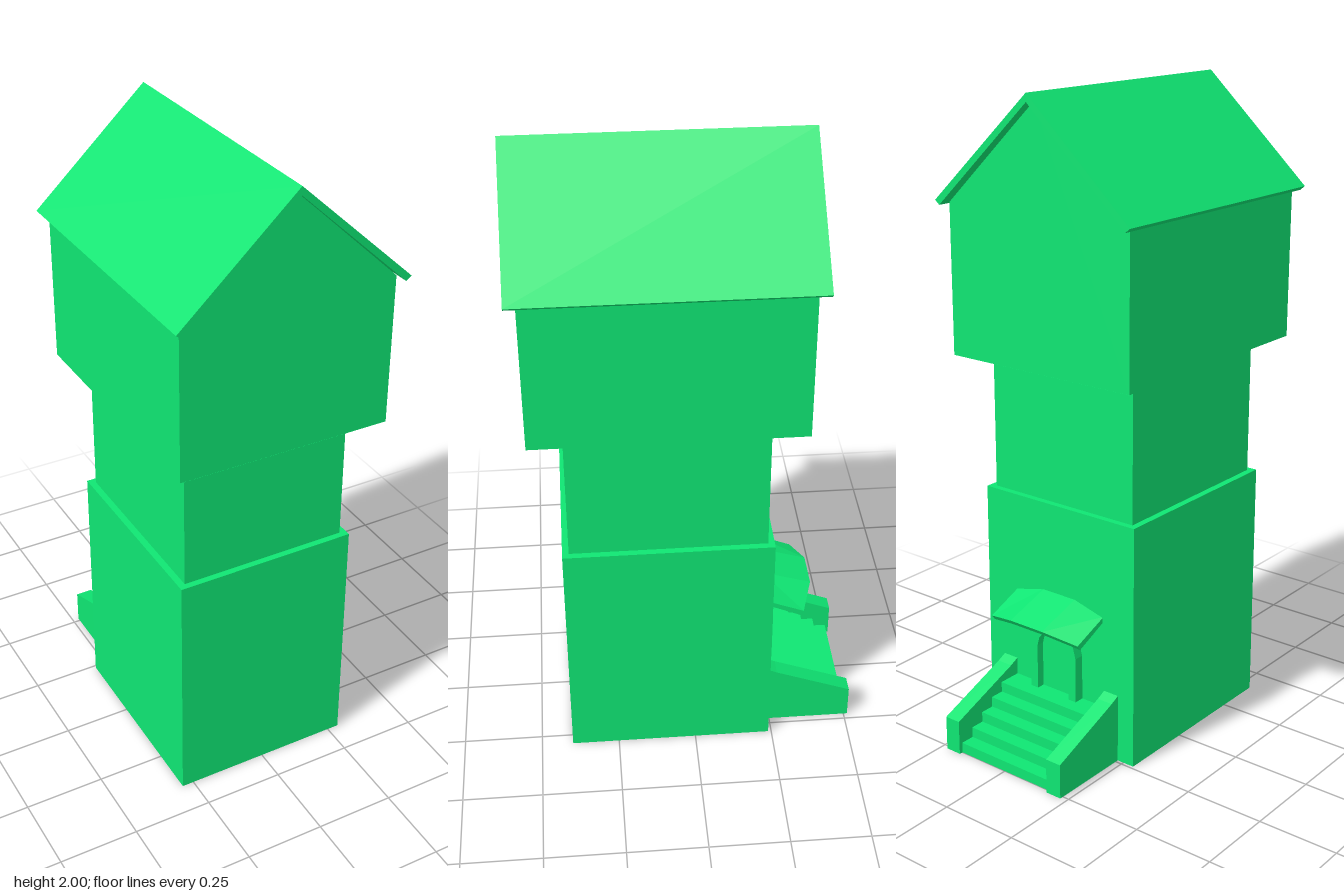
import * as THREE from 'three';

const material = new THREE.MeshStandardMaterial({ color: 0x0fe673, flatShading: true });

function add(parent, name, geometry, x = 0, y = 0, z = 0) {
  const mesh = new THREE.Mesh(geometry, material);
  mesh.name = name;
  mesh.position.set(x, y, z);
  parent.add(mesh);
  return mesh;
}

function shapeOf(points) {
  return new THREE.Shape(points.map(([x, y]) => new THREE.Vector2(x, y)));
}

// Extrudes an (x, y) outline from z0 to z1
function alongZ(shape, z0, z1) {
  return new THREE.ExtrudeGeometry(shape, { depth: z1 - z0, bevelEnabled: false }).translate(0, 0, z0);
}

// Extrudes a (z, y) outline sideways, centred on x = 0
function alongX(points, width) {
  return alongZ(shapeOf(points), -width / 2, width / 2).rotateY(-Math.PI / 2);
}

// Four-sided block whose bottom and top have their own width and depth
function taperedBlock(y0, y1, bottom, top) {
  const geometry = new THREE.BoxGeometry(1, 1, 1);
  const p = geometry.attributes.position;
  for (let i = 0; i < p.count; i++) {
    const [w, d] = p.getY(i) < 0 ? bottom : top;
    p.setXYZ(i, p.getX(i) * w, p.getY(i) < 0 ? y0 : y1, p.getZ(i) * d);
  }
  geometry.computeVertexNormals();
  return geometry;
}

// Round-topped outline made of straight facets
function archPoints(halfWidth, bottom, spring, top) {
  const points = [[-halfWidth, bottom], [halfWidth, bottom]];
  for (let i = 0; i <= 6; i++) {
    const a = (Math.PI * i) / 6;
    points.push([halfWidth * Math.cos(a), spring + (top - spring) * Math.sin(a)]);
  }
  return points;
}

export function createModel() {
  const model = new THREE.Group();
  model.name = 'tower';

  // Tower body
  const bodyZ = 0.08;
  add(model, 'base', taperedBlock(0, 0.775, [0.575, 0.64], [0.572, 0.64]), 0, 0, bodyZ);
  add(model, 'shaft', taperedBlock(0.775, 1.18, [0.53, 0.6], [0.53, 0.6]), 0, 0, bodyZ);
  add(model, 'overhang', taperedBlock(1.18, 1.206, [0.53, 0.6], [0.66, 0.805]), 0, 0, bodyZ);

  // Upper room with gable ends
  add(model, 'upperRoom', alongZ(shapeOf([
    [-0.33, 1.206], [0.33, 1.206], [0.33, 1.665], [0, 1.976], [-0.33, 1.665],
  ]), -0.322, 0.482));

  // Thin pitched roof
  add(model, 'roof', alongZ(shapeOf([
    [0, 2], [-0.355, 1.673], [-0.339, 1.66], [0, 1.975], [0.339, 1.66], [0.355, 1.673],
  ]), -0.355, 0.515));

  // Entrance at the back
  const entrance = new THREE.Group();
  entrance.name = 'entrance';
  model.add(entrance);

  // Sloping stair walls
  for (const side of [-1, 1]) {
    add(entrance, 'stairWall', alongX([
      [-0.235, 0], [-0.235, 0.222], [-0.27, 0.205], [-0.512, 0.11], [-0.512, 0],
    ], 0.053), side * 0.202);
  }

  // Stairs as one stepped outline
  const stepCount = 5, rise = 0.033, going = 0.046;
  const outline = [[-0.235, 0], [-0.235, stepCount * rise]];
  for (let i = stepCount; i > 0; i--) {
    const z = -0.5 + (i - 1) * going;
    outline.push([z, i * rise], [z, (i - 1) * rise]);
  }
  add(entrance, 'stairs', alongX(outline, 0.36));

  // Arched door frame and door
  const frame = shapeOf(archPoints(0.09, 0.16, 0.31, 0.4));
  frame.holes.push(new THREE.Path(
    archPoints(0.062, 0.161, 0.31, 0.372).map(([x, y]) => new THREE.Vector2(x, y))));
  add(entrance, 'doorFrame', alongZ(frame, -0.272, -0.235));
  add(entrance, 'door', alongZ(shapeOf(archPoints(0.064, 0.162, 0.31, 0.374)), -0.246, -0.235));

  // Arched canopy sloping down and outwards
  const canopy = new THREE.BoxGeometry(3, 1, 1, 3, 1, 1);
  const p = canopy.attributes.position;
  for (let i = 0; i < p.count; i++) {
    const edge = Math.abs(p.getX(i)) > 1;
    const outer = p.getZ(i) < 0;
    const under = p.getY(i) < 0;
    const x = Math.sign(p.getX(i)) * (edge ? 0.17 : 0.062);
    const y = (outer ? 0.44 : 0.49) - (edge ? 0.028 : 0) - (under ? 0.016 : 0);
    const z = outer ? (edge ? -0.358 : -0.393) + (under ? 0.012 : 0) : -0.235;
    p.setXYZ(i, x, y, z);
  }
  canopy.computeVertexNormals();
  add(entrance, 'canopy', canopy);

  return model;
}
